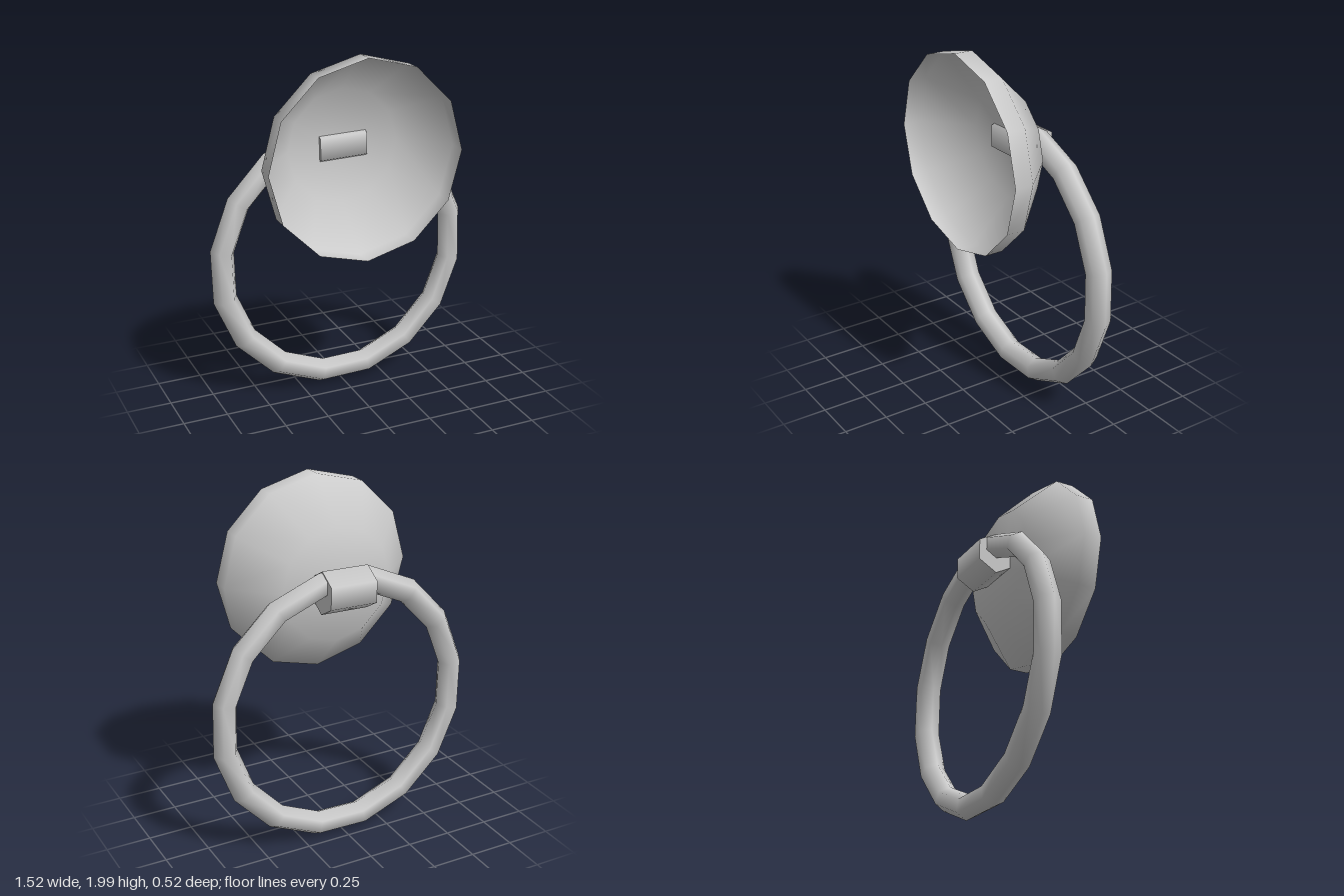
import * as THREE from 'three';

export function createModel() {
  const model = new THREE.Group();
  const material = new THREE.MeshStandardMaterial({ color: 0xcccccc, side: THREE.DoubleSide });
  const tilt = THREE.MathUtils.degToRad(1.3);

  const add = (name, geometry, x, y, z) => {
    const mesh = new THREE.Mesh(geometry, material);
    mesh.name = name;
    mesh.position.set(x, y, z);
    model.add(mesh);
    return mesh;
  };

  // Hollow twelve-sided dish, open towards the front
  const profile = [[0, -0.07], [0.32, -0.07], [0.55, 0.155], [0.55, 0.26]]
    .map(([r, z]) => new THREE.Vector2(r, z));
  const dish = new THREE.LatheGeometry(profile, 12).rotateX(Math.PI / 2);
  add('backplate', dish, -0.018, 1.45, 0);

  // Six-sided holder lying across, its front edge poking through the dish
  const holder = new THREE.CylinderGeometry(0.12, 0.12, 0.272, 6)
    .rotateY(Math.PI / 6)
    .rotateZ(Math.PI / 2 + tilt);
  add('ringHolder', holder, -0.018, 1.45, -0.155);

  // Hanging ring with a hexagonal section, slightly taller than wide
  const ring = new THREE.TorusGeometry(0.72, 0.07, 6, 16)
    .rotateZ(Math.PI / 16 + tilt)
    .scale(0.978, 1, 1);
  add('ring', ring, 0, 0.788, -0.155);

  return model;
}
